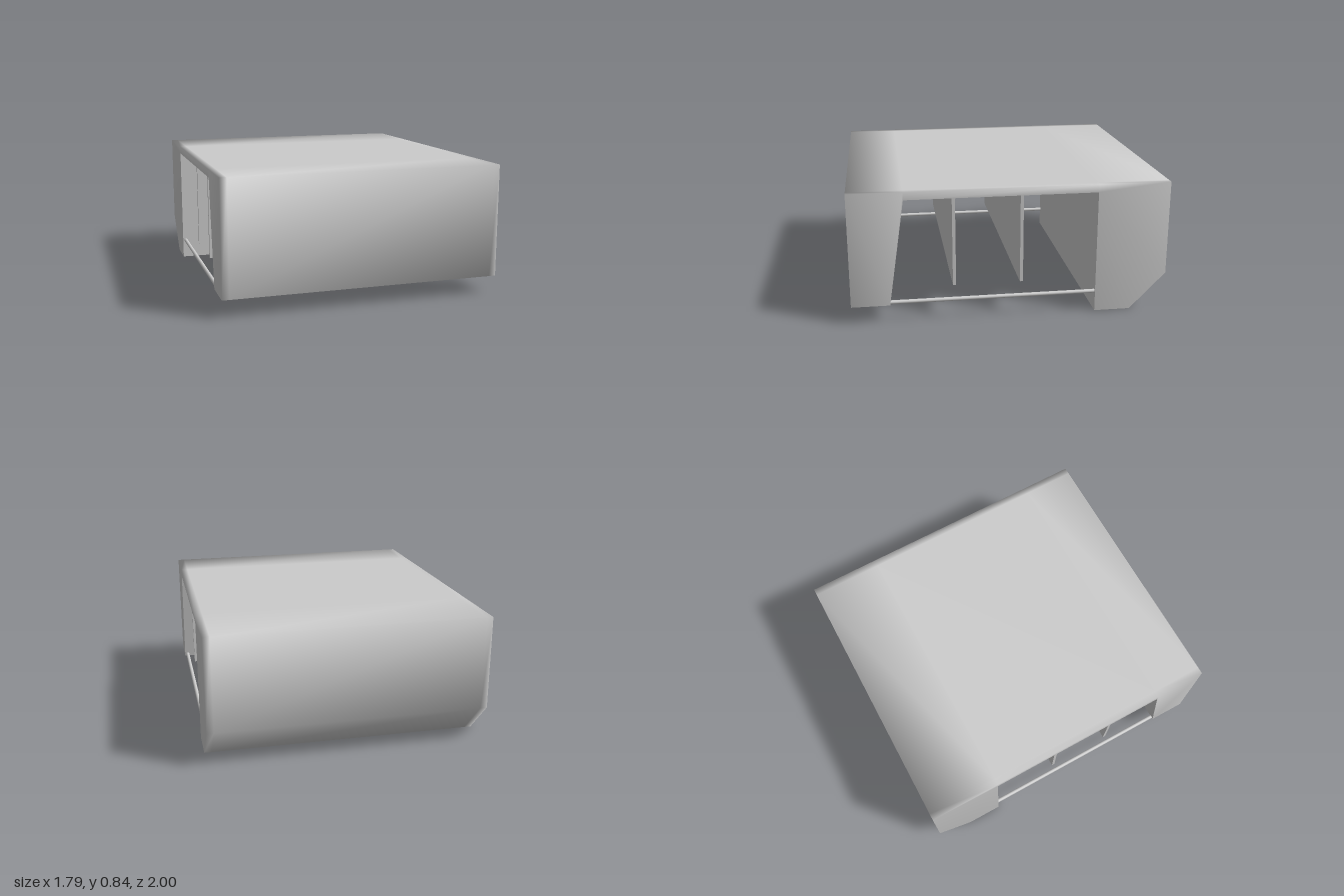
import * as THREE from 'three';

// Side profile as [z, y], counter-clockwise, starting at the front block's inner bottom edge
const PROFILE = [
  [0.76, 0.115], [1, 0.115], [1, 0.84], [0.66, 0.84], [-0.54, 0.84], [-1, 0.84],
  [-1, 0.235], [-0.77, 0], [-0.54, 0], [-0.54, 0.79], [0.66, 0.79],
];
const STATIONS = [-0.895, -0.85, 0.85, 0.895];
const OUTER = [0, 1, 2, 3, 4, 5, 6, 7, 8];
const INNER = [8, 9, 10, 0];
// Convex side pieces: front block, roof edge, back block
const SIDES = [[0, 1, 2, 3, 10], [10, 3, 4, 9], [9, 4, 5, 6, 7, 8]];

// Sweeps part of the profile across the width, optionally closing both ends
function sweep(path, sides = []) {
  const n = PROFILE.length;
  const last = (STATIONS.length - 1) * n;
  const positions = STATIONS.flatMap((x) => PROFILE.flatMap(([z, y]) => [x, y, z]));
  const index = [];
  for (let s = 0; s < STATIONS.length - 1; s++) {
    for (let i = 0; i < path.length - 1; i++) {
      const a = s * n + path[i], d = s * n + path[i + 1];
      const b = a + n, c = d + n;
      index.push(a, b, c, a, c, d);
    }
  }
  for (const p of sides) {
    for (let i = 1; i < p.length - 1; i++) {
      index.push(p[0], p[i], p[i + 1]);
      index.push(last + p[0], last + p[i + 1], last + p[i]);
    }
  }
  const geometry = new THREE.BufferGeometry();
  geometry.setAttribute('position', new THREE.Float32BufferAttribute(positions, 3));
  geometry.setIndex(index);
  return geometry;
}

export function createModel() {
  const model = new THREE.Group();
  const material = new THREE.MeshStandardMaterial({ color: 0xcccccc, side: THREE.DoubleSide });

  const add = (name, geometry, x = 0, y = 0, z = 0) => {
    const mesh = new THREE.Mesh(geometry, material);
    mesh.name = name;
    mesh.position.set(x, y, z);
    model.add(mesh);
    return mesh;
  };

  // Softly shaded shell: front block, roof and back block
  const shell = sweep(OUTER, SIDES);
  shell.computeVertexNormals();
  add('shell', shell);

  // Flat inner faces of the open bay
  const lining = sweep(INNER).toNonIndexed();
  lining.computeVertexNormals();
  add('bayLining', lining);

  // Hanging partitions
  for (const z of [0.355, -0.07]) {
    add('partition', new THREE.BoxGeometry(1.7, 0.58, 0.02), 0, 0.5, z);
  }

  // Lower side rails joining the two blocks
  for (const x of [-0.875, 0.875]) {
    const rail = add('sideRail', new THREE.CylinderGeometry(0.0125, 0.0125, 1.31, 16), x, 0.1275, 0.11);
    rail.rotation.x = Math.PI / 2;
  }

  return model;
}
